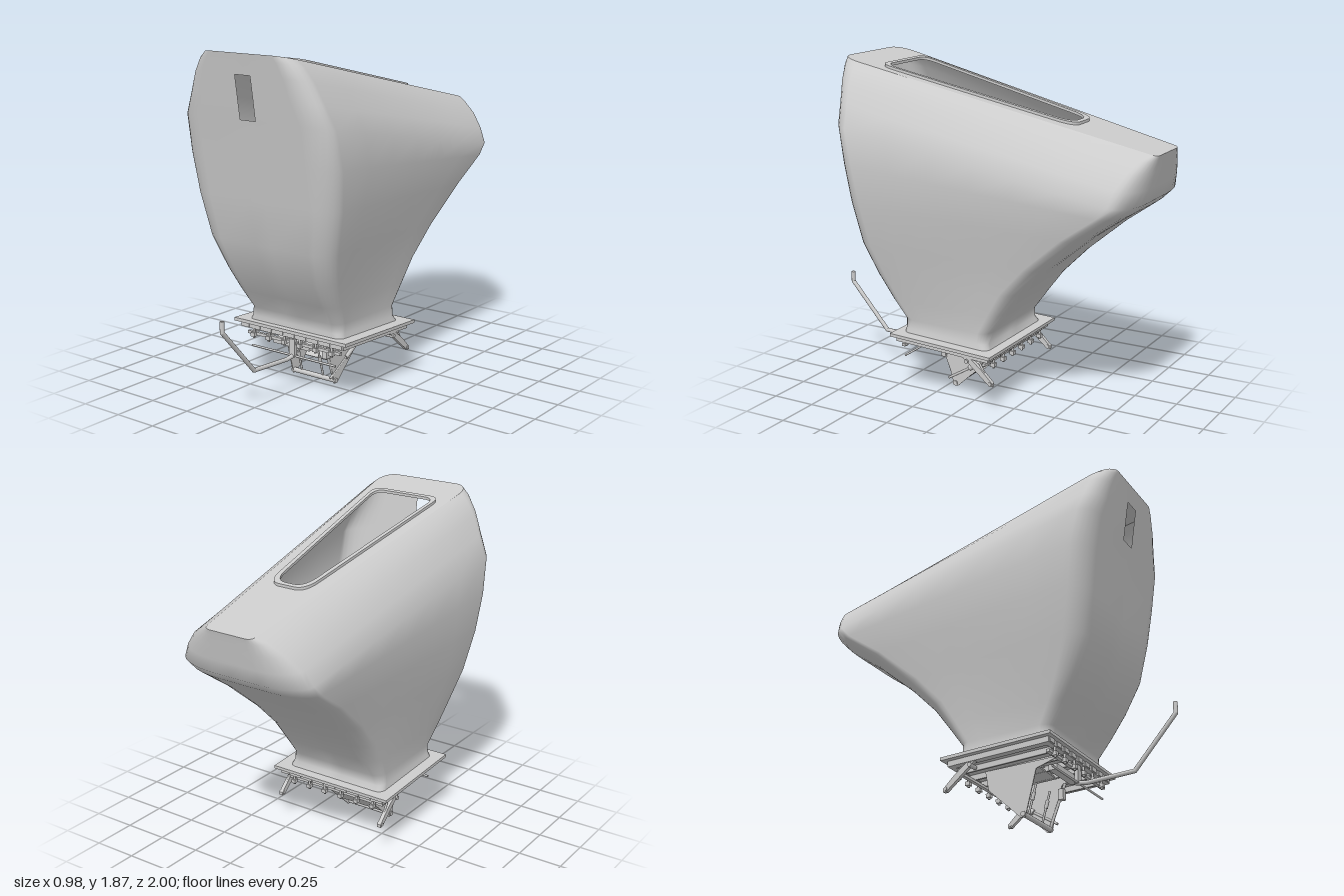
import * as THREE from 'three';

const mat = new THREE.MeshStandardMaterial({ color: 0xcccccc, side: THREE.DoubleSide });

// Hopper sections, bottom to top: front z,y | back z,y | half widths front, back |
// corner x-size front, back | corner z-size front, back
const ROWS = [
  [0.43, 0.335, -0.13, 0.305, 0.325, 0.325, 0.04, 0.04, 0.04, 0.04],
  [0.425, 0.38, -0.1, 0.36, 0.31, 0.31, 0.05, 0.05, 0.05, 0.05],
  [0.43, 0.43, -0.11, 0.42, 0.308, 0.305, 0.06, 0.07, 0.06, 0.06],
  [0.505, 0.54, -0.2, 0.54, 0.335, 0.32, 0.08, 0.1, 0.07, 0.08],
  [0.59, 0.68, -0.3, 0.67, 0.367, 0.335, 0.1, 0.13, 0.09, 0.1],
  [0.665, 0.86, -0.46, 0.83, 0.415, 0.355, 0.12, 0.16, 0.1, 0.11],
  [0.705, 1.1, -0.69, 1.025, 0.467, 0.385, 0.14, 0.2, 0.11, 0.11],
  [0.735, 1.32, -0.885, 1.165, 0.49, 0.405, 0.15, 0.24, 0.11, 0.1],
  [0.768, 1.53, -0.945, 1.22, 0.482, 0.402, 0.15, 0.26, 0.1, 0.1],
  [0.786, 1.65, -0.963, 1.3, 0.428, 0.36, 0.14, 0.22, 0.1, 0.1],
  [0.803, 1.76, -0.98, 1.38, 0.378, 0.29, 0.12, 0.17, 0.1, 0.08],
  [0.814, 1.835, -0.992, 1.44, 0.325, 0.21, 0.1, 0.1, 0.1, 0.06],
  [0.82, 1.87, -1.0, 1.47, 0.28, 0.15, 0.08, 0.04, 0.1, 0.03],
];
const topY = z => 1.87 + (z - 0.82) * (0.4 / 1.82);

// One closed ring, running from the front round the left side to the back and home
function ring([zf, yf, zb, yb, wf, wb, fx, bx, fz, bz]) {
  const half = [[0.05, zf]], N = 6, S = 6;
  for (let i = 0; i <= N; i++) {
    const a = (i / N) * Math.PI / 2;
    half.push([wf - fx + fx * Math.sin(a), zf - fz + fz * Math.cos(a)]);
  }
  for (let i = 1; i < S; i++) {
    const t = i / S;
    half.push([wf + (wb - wf) * t, zf - fz + (zb + bz - zf + fz) * t]);
  }
  for (let i = 0; i <= N; i++) {
    const a = (i / N) * Math.PI / 2;
    half.push([wb - bx + bx * Math.cos(a), zb + bz - bz * Math.sin(a)]);
  }
  half.push([0.04, zb]);
  const all = half.concat(half.slice().reverse().map(([x, z]) => [-x, z]));
  return all.map(([x, z]) => [x, yb + (yf - yb) * (z - zb) / (zf - zb), z]);
}

function hopperShell() {
  const rings = ROWS.map(ring), n = rings[0].length, index = [];
  for (let i = 0; i < rings.length - 1; i++) {
    for (let j = 0; j < n; j++) {
      if (j === n - 1 && (i === 8 || i === 9)) continue; // inspection window in the front wall
      const k = (j + 1) % n, a = i * n + j, b = i * n + k;
      index.push(a, b, b + n, a, b + n, a + n);
    }
  }
  const g = new THREE.BufferGeometry();
  g.setAttribute('position', new THREE.Float32BufferAttribute(rings.flat(2), 3));
  g.setIndex(index);
  g.computeVertexNormals();
  return g;
}

// Rounded tapering outline of the filling opening, grown by d
function openingPath(d, Type) {
  const p = new Type(), f = 0.2 + d, b = 0.11 + d, zf = 0.59 + d, zb = -0.51 - d;
  p.moveTo(-f + 0.06, -zf);
  p.lineTo(f - 0.06, -zf);
  p.quadraticCurveTo(f, -zf, f - 0.005, -zf + 0.07);
  p.lineTo(b, -zb - 0.1);
  p.quadraticCurveTo(b - 0.01, -zb, b - 0.08, -zb);
  p.lineTo(-b + 0.08, -zb);
  p.quadraticCurveTo(-b + 0.01, -zb, -b, -zb - 0.1);
  p.lineTo(-f + 0.005, -zf + 0.07);
  p.quadraticCurveTo(-f, -zf, -f + 0.06, -zf);
  return p;
}

// Lay a flat geometry on the sloping top plane
function layOnTop(g) {
  g.rotateX(-Math.PI / 2);
  const p = g.attributes.position;
  for (let i = 0; i < p.count; i++) p.setY(i, p.getY(i) + topY(p.getZ(i)));
  g.computeVertexNormals();
  return g;
}

function rectShape(w, d, Type = THREE.Shape, cx = 0, cy = 0) {
  return new Type([[-w, -d], [w, -d], [w, d], [-w, d]].map(([x, y]) => new THREE.Vector2(x + cx, y + cy)));
}

export function createModel() {
  const model = new THREE.Group();
  const add = (name, g, parent = model, x = 0, y = 0, z = 0) => {
    const m = new THREE.Mesh(g, mat);
    m.name = name;
    m.position.set(x, y, z);
    parent.add(m);
    return m;
  };
  const box = (name, w, h, d, x, y, z, parent) => add(name, new THREE.BoxGeometry(w, h, d), parent, x, y, z);
  const bar = (name, a, b, r, parent) => {
    const A = new THREE.Vector3(...a), B = new THREE.Vector3(...b);
    const m = add(name, new THREE.CylinderGeometry(r, r, A.distanceTo(B), 12), parent);
    m.position.copy(A).lerp(B, 0.5);
    m.quaternion.setFromUnitVectors(new THREE.Vector3(0, 1, 0), B.sub(A).normalize());
    return m;
  };
  // Thin upright plate from a (z, y) outline
  const plate = (name, pts, x, t = 0.01) => {
    const g = new THREE.ExtrudeGeometry(new THREE.Shape(pts.map(p => new THREE.Vector2(...p))), { depth: t, bevelEnabled: false });
    return add(name, g.rotateY(-Math.PI / 2), model, x + t / 2);
  };
  const frame = (w, d, iw, id, h, cx = 0, cz = 0) => {
    const s = rectShape(w, d, THREE.Shape, cx, -cz);
    s.holes.push(rectShape(iw, id, THREE.Path, cx, -cz));
    return new THREE.ExtrudeGeometry(s, { depth: h, bevelEnabled: false }).rotateX(-Math.PI / 2);
  };

  // Hopper body, top skin and opening rim
  add('hopperShell', hopperShell());
  const skin = new THREE.Shape(ring(ROWS[ROWS.length - 1]).map(([x, , z]) => new THREE.Vector2(x, -z)));
  skin.holes.push(openingPath(0, THREE.Path));
  add('topSkin', layOnTop(new THREE.ShapeGeometry(skin, 10)));
  const rim = openingPath(0.015, THREE.Shape);
  rim.holes.push(openingPath(-0.008, THREE.Path));
  add('openingRim', layOnTop(new THREE.ExtrudeGeometry(rim, { depth: 0.015, bevelEnabled: false, curveSegments: 10 }).toNonIndexed()));

  // Slightly tilted base with flange, floor and hanging hardware
  const base = new THREE.Group();
  base.name = 'base';
  base.position.set(0, 0.325, 0.15);
  base.rotation.x = -0.045;
  model.add(base);
  add('flange', frame(0.385, 0.32, 0.3, 0.26, 0.018), base);
  add('lowerFrame', frame(0.355, 0.295, 0.315, 0.265, 0.03), base, 0, -0.03);
  const floor = rectShape(0.32, 0.27);
  floor.holes.push(rectShape(0.1, 0.125, THREE.Path, -0.04, 0.015));
  add('floorPlate', new THREE.ExtrudeGeometry(floor, { depth: 0.008, bevelEnabled: false }).rotateX(-Math.PI / 2), base, 0, -0.025);
  add('outletFrame', frame(0.11, 0.135, 0.095, 0.12, 0.025, -0.04, -0.015), base, 0, -0.03);
  add('outletGate', new THREE.BoxGeometry(0.22, 0.008, 0.27), base, -0.04, -0.05, -0.015);
  for (const z of [-0.285, 0.285]) {
    for (let i = 0; i < 9; i++) box('flangeLug', 0.05, 0.03, 0.03, -0.32 + 0.08 * i, -0.01, z, base);
    for (let i = 0; i < 6; i++) {
      const x = -0.27 + 0.108 * i;
      bar('hangerBolt', [x, 0.005, z], [x, -0.085, z], 0.007, base);
      box('hangerNut', 0.026, 0.022, 0.026, x, -0.065, z, base);
    }
  }
  for (let i = 0; i < 6; i++) box('floorRib', 0.012, 0.03, 0.54, -0.275 + 0.11 * i, -0.04, 0, base);
  box('frontCrossBar', 0.64, 0.016, 0.02, 0, -0.06, 0.27, base);
  box('rearCrossBar', 0.64, 0.016, 0.02, 0, -0.06, -0.25, base);
  bar('gateShaft', [-0.29, 0.205, 0.43], [0.29, 0.205, 0.43], 0.006);

  // Discharge chute hanging below the outlet
  for (const x of [-0.175, 0.115]) {
    plate('chuteSide', [[0.42, 0.3], [0.28, 0.255], [0.215, 0.005], [0.19, 0.005], [0, 0.185], [-0.02, 0.29]], x, 0.006);
  }
  const chute = box('chuteBack', 0.29, 0.006, 0.15, -0.03, 0.135, 0.055);
  chute.rotation.x = 0.75;
  bar('chuteLip', [-0.185, 0.022, 0.205], [0.125, 0.022, 0.205], 0.014);
  for (const x of [-0.12, 0.03]) {
    bar('chuteRod', [x, 0.02, 0.2], [x, 0.2, 0.25], 0.006);
    bar('rodCollar', [x, 0.11, 0.225], [x, 0.15, 0.236], 0.01);
  }
  bar('actuatorRod', [0.115, 0.045, 0.25], [0.115, 0.19, 0.01], 0.007);
  bar('actuatorBody', [0.115, 0.13, 0.11], [0.115, 0.18, 0.03], 0.016);
  bar('actuatorLink', [0.11, 0.03, 0.21], [0.11, 0.26, 0.3], 0.008);
  box('actuatorBracket', 0.03, 0.06, 0.03, 0.11, 0.2, 0.28);
  box('gateBracket', 0.25, 0.03, 0.05, -0.04, 0.25, 0.37);

  // Side levers at the rear of the base
  for (const s of [-1, 1]) {
    const lever = plate('sideLever', [[0.02, 0.29], [-0.03, 0.25], [-0.15, 0.15], [-0.17, 0.15], [-0.17, 0.168], [-0.1, 0.235], [-0.03, 0.29]], s * 0.34, 0.022);
    lever.name = s > 0 ? 'leftLever' : 'rightLever';
    bar('leverPivot', [s * 0.3, 0.27, -0.01], [s * 0.36, 0.27, -0.01], 0.012);
    bar('leverPin', [s * 0.325, 0.165, -0.155], [s * 0.355, 0.165, -0.155], 0.01);
    bar('leverStay', [s * 0.335, 0.155, -0.15], [s * 0.335, 0.27, -0.08], 0.006);
  }

  // Bent operating handle reaching forward
  const path = [[0, 0.205, 0.42], [0, 0.197, 0.48], [0, 0.212, 0.75], [0, 0.48, 0.988], [0, 0.54, 0.988]];
  for (let i = 0; i < path.length - 1; i++) {
    bar('handle', path[i], path[i + 1], 0.012);
    add('handleJoint', new THREE.SphereGeometry(0.012, 12, 8), model, ...path[i]);
  }
  box('handleBracket', 0.04, 0.1, 0.02, 0, 0.25, 0.43);
  return model;
}
